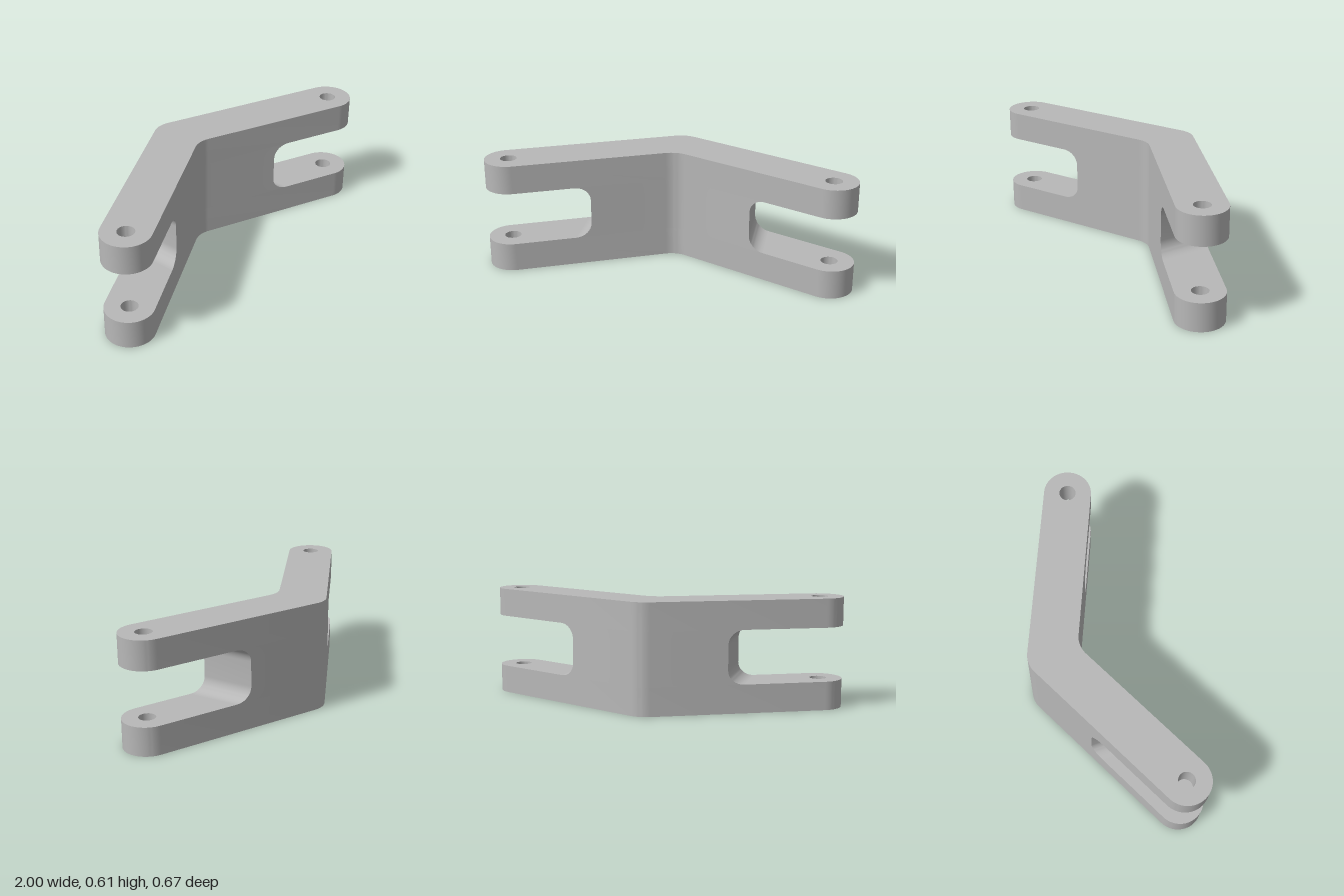
import * as THREE from 'three';
import { toCreasedNormals } from 'three/addons/utils/BufferGeometryUtils.js';

const HEIGHT = 0.609, PLATE = 0.157;      // overall height, fork plate thickness
const R = 0.13, HOLE_R = 0.045;           // half arm width, pin hole radius
const PIN_X = 0.87, PIN_Z = 0.203;        // pin centre; the bend sits at z = -PIN_Z
const SLOT_X = 0.435, FILLET = 0.08;      // slot floor and its corner radius
const BEND = Math.atan2(2 * PIN_Z, PIN_X);
const CREASE = 0.5;

// Points (x, z) along an arc in plan
function arc(cx, cz, r, from, to, steps) {
  return Array.from({ length: steps + 1 }, (_, i) => {
    const a = from + (to - from) * i / steps;
    return new THREE.Vector2(cx + r * Math.cos(a), cz + r * Math.sin(a));
  });
}

const Q = Math.PI / 2;
const backBend = arc(0, -PIN_Z, R, -Q - BEND, -Q + BEND, 12);
const frontBendZ = -PIN_Z + 2 * R / Math.cos(BEND);
const frontBend = arc(0, frontBendZ, R, -Q + BEND, -Q - BEND, 12);

// Bent arm plate with rounded ends and a pin hole at each end
function forkPlate(top) {
  const shape = new THREE.Shape([
    ...backBend,
    ...arc(PIN_X, PIN_Z, R, -Q + BEND, Q + BEND, 36),
    ...frontBend,
    ...arc(-PIN_X, PIN_Z, R, Q - BEND, 3 * Q - BEND, 36),
  ]);
  for (const side of [1, -1]) {
    shape.holes.push(new THREE.Path(arc(side * PIN_X, PIN_Z, HOLE_R, 0, 4 * Q, 32).slice(0, -1)));
  }
  const geo = new THREE.ExtrudeGeometry(shape, { depth: PLATE, bevelEnabled: false });
  geo.rotateX(Q).translate(0, top, 0);
  return toCreasedNormals(geo, CREASE);
}

// Middle web: plan sections whose half width flares into the plates
function webGeometry() {
  const levels = [];
  const steps = 12;
  for (let i = 0; i <= steps; i++) {
    const t = Q * i / steps;
    levels.push([PLATE + FILLET * (1 - Math.cos(t)), SLOT_X + FILLET * (1 - Math.sin(t))]);
  }
  levels.push(...levels.map(([y, w]) => [HEIGHT - y, w]).reverse());

  const half = R / Math.cos(BEND);
  const rings = levels.map(([y, w]) => {
    const mid = -PIN_Z + w * Math.tan(BEND);
    const plan = [
      ...backBend,
      new THREE.Vector2(w, mid - half), new THREE.Vector2(w, mid + half),
      ...frontBend,
      new THREE.Vector2(-w, mid + half), new THREE.Vector2(-w, mid - half),
    ];
    return plan.map(p => [p.x, y, p.y]);
  });

  const pos = [];
  for (let j = 0; j < rings.length - 1; j++) {
    const lo = rings[j], hi = rings[j + 1];
    for (let i = 0; i < lo.length; i++) {
      const n = (i + 1) % lo.length;
      pos.push(...lo[i], ...hi[i], ...hi[n], ...lo[i], ...hi[n], ...lo[n]);
    }
  }
  const geo = new THREE.BufferGeometry();
  geo.setAttribute('position', new THREE.Float32BufferAttribute(pos, 3));
  return toCreasedNormals(geo, CREASE);
}

export function createModel() {
  const metal = new THREE.MeshStandardMaterial({ color: 0xb8b8b8 });
  metal.name = 'grey metal';
  const group = new THREE.Group();
  group.name = 'bentDoubleForkBracket';
  const add = (name, geo) => {
    const mesh = new THREE.Mesh(geo, metal);
    mesh.name = name;
    group.add(mesh);
  };
  add('lowerForkPlate', forkPlate(PLATE));
  add('upperForkPlate', forkPlate(HEIGHT));
  add('centreWeb', webGeometry());
  return group;
}
